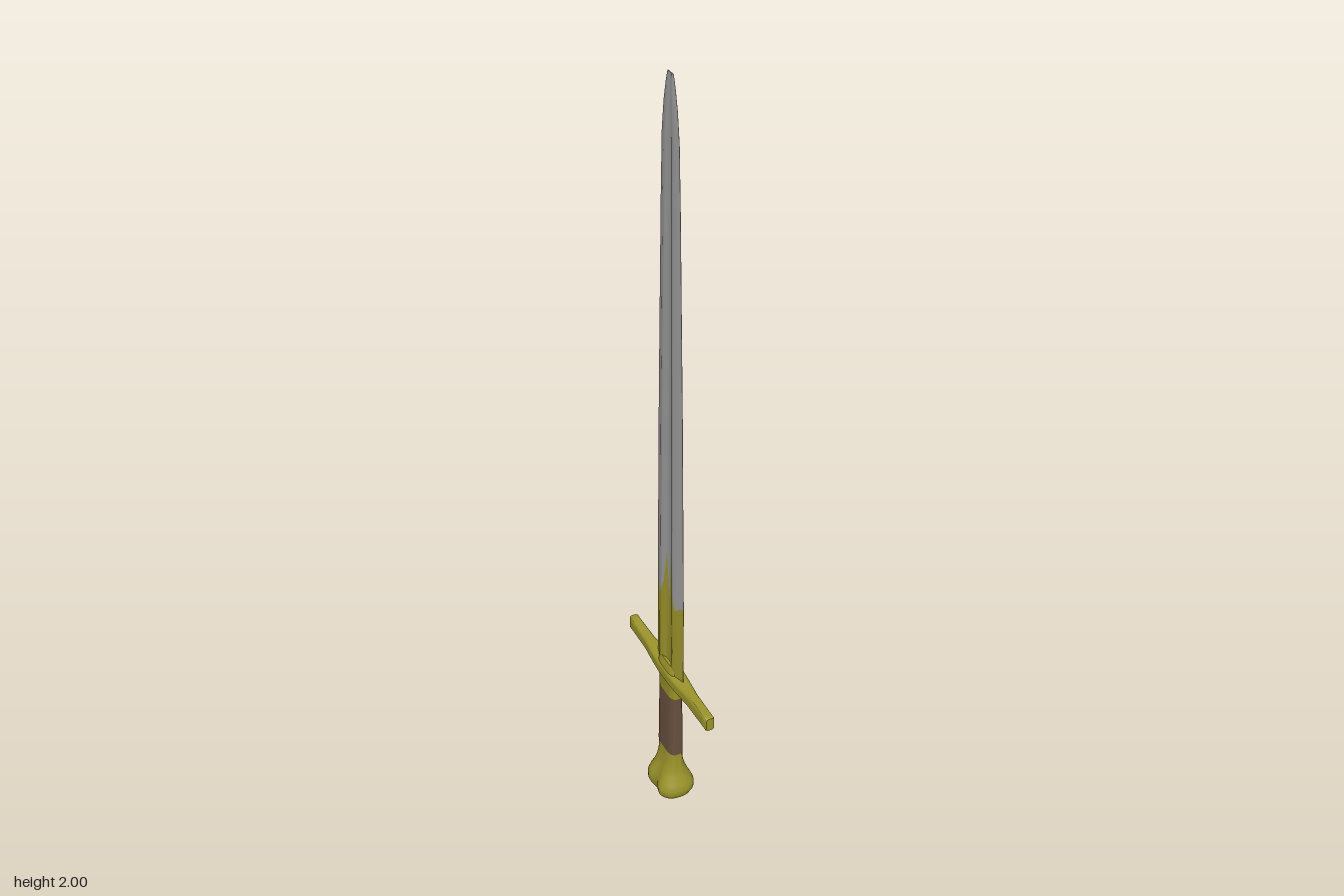
import * as THREE from 'three';
import { toCreasedNormals } from 'three/addons/utils/BufferGeometryUtils.js';

const mat = (color) => new THREE.MeshStandardMaterial({ color });
const steel = mat(0x9b9b9b), gold = mat(0x9c942a), leather = mat(0x68503f);

// Skin a stack of closed rings (each a list of [x, y, z]) and cap both ends
function loft(rings, crease = 0.6) {
  const n = rings[0].length, pos = [], idx = [];
  rings.forEach((r) => r.forEach((p) => pos.push(...p)));
  for (let i = 0; i < rings.length - 1; i++) {
    for (let j = 0; j < n; j++) {
      const a = i * n + j, b = i * n + (j + 1) % n;
      idx.push(a, a + n, b, b, a + n, b + n);
    }
  }
  [0, rings.length - 1].forEach((i, top) => {
    const c = pos.length / 3, mid = [0, 1, 2].map((k) => rings[i].reduce((s, p) => s + p[k], 0) / n);
    pos.push(...mid);
    for (let j = 0; j < n; j++) {
      const a = i * n + j, b = i * n + (j + 1) % n;
      idx.push(c, ...(top ? [b, a] : [a, b]));
    }
  });
  const g = new THREE.BufferGeometry();
  g.setAttribute('position', new THREE.Float32BufferAttribute(pos, 3));
  g.setIndex(idx);
  return toCreasedNormals(g, crease);
}

// Ring with half sizes rx, rz; power < 1 squares it off, groove pinches the middle of the faces
function oval(y, rx, rz, power = 1, groove = 0, n = 32) {
  const soft = (v) => Math.sign(v) * Math.pow(Math.abs(v), power);
  return Array.from({ length: n }, (_, j) => {
    const t = (j / n) * Math.PI * 2, z = soft(Math.sin(t));
    const pinch = 1 - groove * Math.exp(-Math.pow(z / 0.28, 2));
    return [soft(Math.cos(t)) * rx * pinch, y, z * rz];
  });
}

// Linear lookup in a list of [key, value...] rows
function sample(rows, y, k) {
  let i = 0;
  while (i < rows.length - 2 && y > rows[i + 1][0]) i++;
  const [a, b] = [rows[i], rows[i + 1]];
  return THREE.MathUtils.lerp(a[k], b[k], (y - a[0]) / (b[0] - a[0]));
}

// Blade: height, half width, half thickness
const bladeRows = [
  [0.42, 0.07, 0.012], [0.65, 0.07, 0.01], [1.2, 0.06, 0.008], [1.7, 0.047, 0.006],
  [1.86, 0.041, 0.005], [1.93, 0.032, 0.004], [1.975, 0.022, 0.003], [2, 0.014, 0.002],
];
// Half section: position across, thickness, height of the gilded edge
const across = [
  [-1, 0.04, 0.66], [-0.8, 0.4, 0.655], [-0.6, 0.85, 0.64], [-0.45, 1, 0.66], [-0.3, 0.8, 0.69],
  [-0.17, 0.45, 0.78], [0, 0.35, 0.65],
];
const half = [...across, ...across.slice(0, -1).reverse().map(([u, t, h]) => [-u, t, h])];
const section = [...half.map((p) => [...p, 1]), ...half.slice().reverse().map((p) => [...p, -1])];
const bladeRing = (heightOf) => section.map(([u, t, h, side]) => {
  const y = heightOf(h);
  return [side * t * sample(bladeRows, y, 2), y, u * sample(bladeRows, y, 1)];
});

export function createModel() {
  const group = new THREE.Group();
  const add = (name, geometry, material) => {
    const mesh = new THREE.Mesh(geometry, material);
    mesh.name = name;
    group.add(mesh);
    return mesh;
  };

  // Steel blade rising from the jagged gilded edge
  const heights = [0.8, 1.2, 1.7, 1.86, 1.93, 1.975, 2];
  add('blade', loft([bladeRing((h) => h), ...heights.map((y) => bladeRing(() => y))], 0.3), steel);
  add('gildedBladeBase', loft([bladeRing(() => 0.42), bladeRing(() => 0.6), bladeRing((h) => h)], 0.3), gold);

  // Crossguard: thicker in the middle, small flare at the ends
  const guardRows = [
    [-0.215, 0.0105, 0.018], [-0.211, 0.0125, 0.02], [-0.195, 0.0125, 0.019], [-0.12, 0.014, 0.018],
    [-0.06, 0.02, 0.018], [-0.03, 0.022, 0.019],
  ];
  const guardRings = [...guardRows, ...guardRows.slice().reverse().map(([z, a, b]) => [-z, a, b])];
  const guard = add('crossguard', loft(guardRings.map(([z, a, b]) => oval(z, a, b, 0.45)), 0.7), gold);
  guard.rotation.x = Math.PI / 2;
  guard.position.y = 0.415;

  // Collars around the guard
  add('upperCollar', loft([oval(0.41, 0.021, 0.044, 0.5), oval(0.435, 0.018, 0.043, 0.5), oval(0.452, 0.012, 0.04, 0.5)]), gold);
  add('lowerCollar', loft([oval(0.355, 0.017, 0.043, 0.6), oval(0.38, 0.017, 0.043, 0.6), oval(0.41, 0.021, 0.044, 0.6)]), gold);

  // Leather grip
  add('grip', loft([oval(0.168, 0.021, 0.044, 0.65), oval(0.26, 0.02, 0.044, 0.65), oval(0.355, 0.017, 0.043, 0.65)]), leather);

  // Lobed pommel: height, half depth, half width, groove
  const pommelRows = [
    [0, 0.008, 0.01, 0], [0.006, 0.022, 0.026, 0.1], [0.016, 0.036, 0.043, 0.2], [0.03, 0.047, 0.057, 0.27],
    [0.045, 0.053, 0.065, 0.3], [0.06, 0.053, 0.065, 0.3], [0.075, 0.047, 0.06, 0.27], [0.095, 0.037, 0.051, 0.2],
    [0.115, 0.029, 0.046, 0.12], [0.14, 0.023, 0.044, 0.04], [0.17, 0.021, 0.044, 0],
  ];
  add('pommel', loft(pommelRows.map(([y, a, b, g]) => oval(y, a, b, 0.8, g)), 1), gold);

  return group;
}
